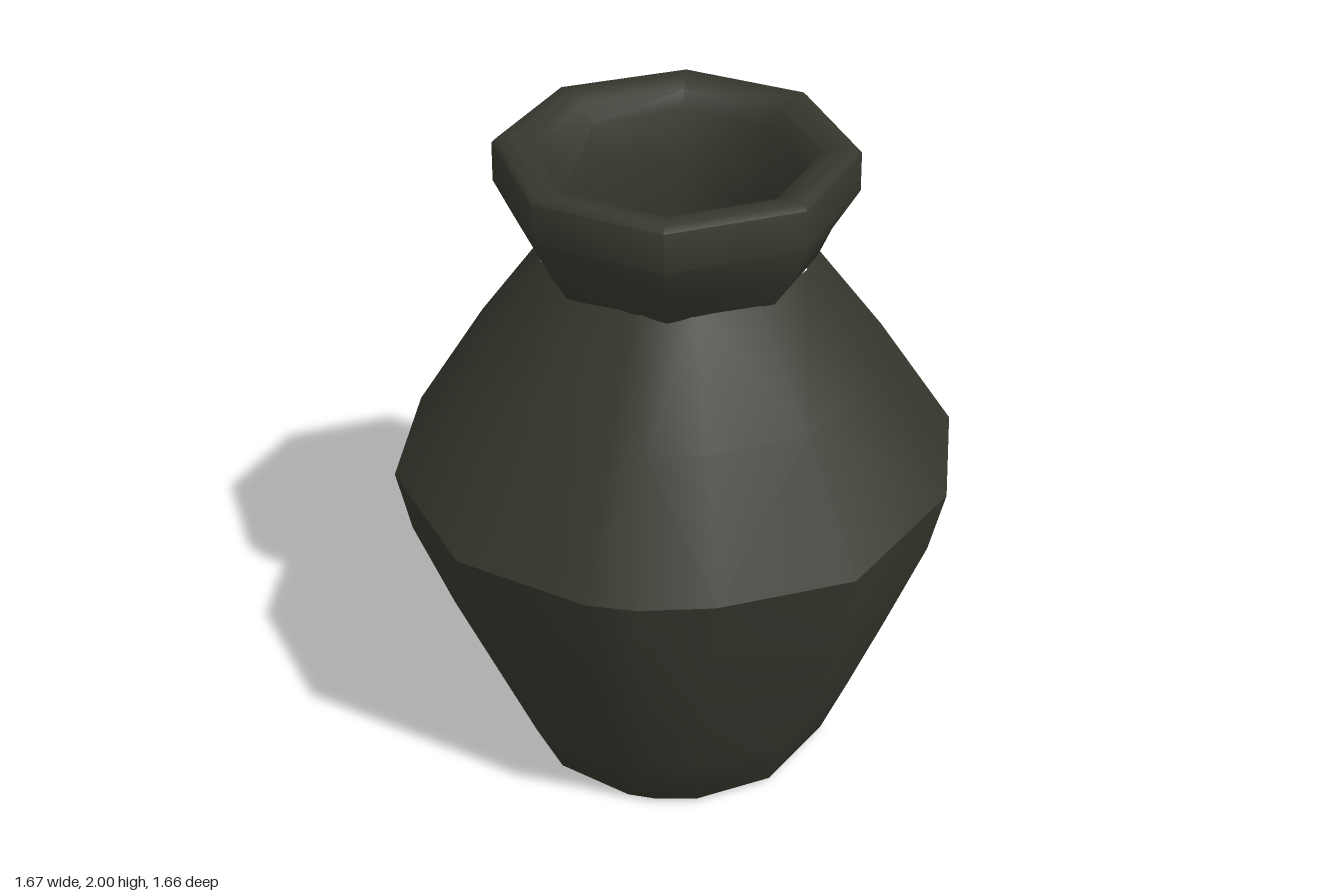
import * as THREE from 'three';
import { toCreasedNormals } from 'three/addons/utils/BufferGeometryUtils.js';

// Skins a stack of rings (each an array of Vector3), running up the outside.
function loft(rings, crease) {
  const pos = [];
  const tri = (a, b, c) => {
    const n = b.clone().sub(a).cross(c.clone().sub(a));
    if (n.length() > 1e-7) pos.push(...a.toArray(), ...b.toArray(), ...c.toArray());
  };
  for (let j = 0; j < rings.length - 1; j++) {
    const lo = rings[j], hi = rings[j + 1], n = lo.length;
    for (let i = 0; i < n; i++) {
      const k = (i + 1) % n;
      // alternate the diagonals for a hand-hewn look
      if ((i + j) % 2) {
        tri(lo[i], hi[i], lo[k]);
        tri(lo[k], hi[i], hi[k]);
      } else {
        tri(lo[i], hi[i], hi[k]);
        tri(lo[i], hi[k], lo[k]);
      }
    }
  }
  const geo = new THREE.BufferGeometry();
  geo.setAttribute('position', new THREE.Float32BufferAttribute(pos, 3));
  return toCreasedNormals(geo, crease);
}

const point = (deg, r, y) => {
  const a = THREE.MathUtils.degToRad(deg);
  return new THREE.Vector3(Math.cos(a) * r, y, Math.sin(a) * r);
};

export function createModel() {
  const clay = new THREE.MeshStandardMaterial({ color: 0x38372e });
  clay.name = 'dark clay';
  const group = new THREE.Group();
  group.name = 'vase';
  const add = (name, geo) => {
    const mesh = new THREE.Mesh(geo, clay);
    mesh.name = name;
    group.add(mesh);
  };

  // Belly outline: [angle in degrees, radius at the widest ring]
  const outline = [
    [-3.5, 0.835], [30, 0.855], [59, 0.83], [94, 0.832], [122.5, 0.796],
    [138, 0.807], [148, 0.813], [177, 0.84], [210, 0.843], [239, 0.838],
    [274, 0.832], [302, 0.803], [317.5, 0.814], [327, 0.81],
  ];
  // Body profile: [height, radius, share of the outline's unevenness]
  const bodyProfile = [
    [0, 0, 0], [0, 0.475, 0], [0.015, 0.49, 0], [0.22, 0.575, 0.3], [0.5, 0.69, 0.6],
    [0.8, 0.785, 1], [1, 0.835, 1], [1.36, 0.61, 0.5], [1.67, 0.385, 0],
  ];
  add('body', loft(bodyProfile.map(([y, r, uneven], j) => outline.map(([deg, top], i) => {
    const shape = 1 + (top / 0.835 - 1) * uneven;
    const chip = j > 2 && j < 6 ? 0.012 * Math.sin(i * 2.3 + j * 1.7) : 0;
    return point(deg, r * shape + chip, y);
  })), 0.6));

  // Eight-sided collar: outside, rounded lip, inner wall, hollow and floor
  const collarProfile = [
    [1.655, 0.34], [1.66, 0.4], [1.76, 0.455], [1.87, 0.512], [1.985, 0.51], [2, 0.495],
    [2, 0.45], [1.98, 0.4], [1.93, 0.365], [1.8, 0.335], [1.66, 0.315], [1.4, 0.34], [1.4, 0],
  ];
  add('collar', loft(collarProfile.map(([y, r], j) => {
    const ring = [];
    for (let i = 0; i < 8; i++) {
      const wobble = j === 2 || (j > 7 && j < 11) ? 0.012 * Math.sin(i * 2.7 + j) : 0;
      ring.push(point(i * 45 + (i % 2 ? -1 : -1.5), r === 0 ? 0 : r + wobble, y));
    }
    return ring;
  }), 0.85));

  return group;
}
